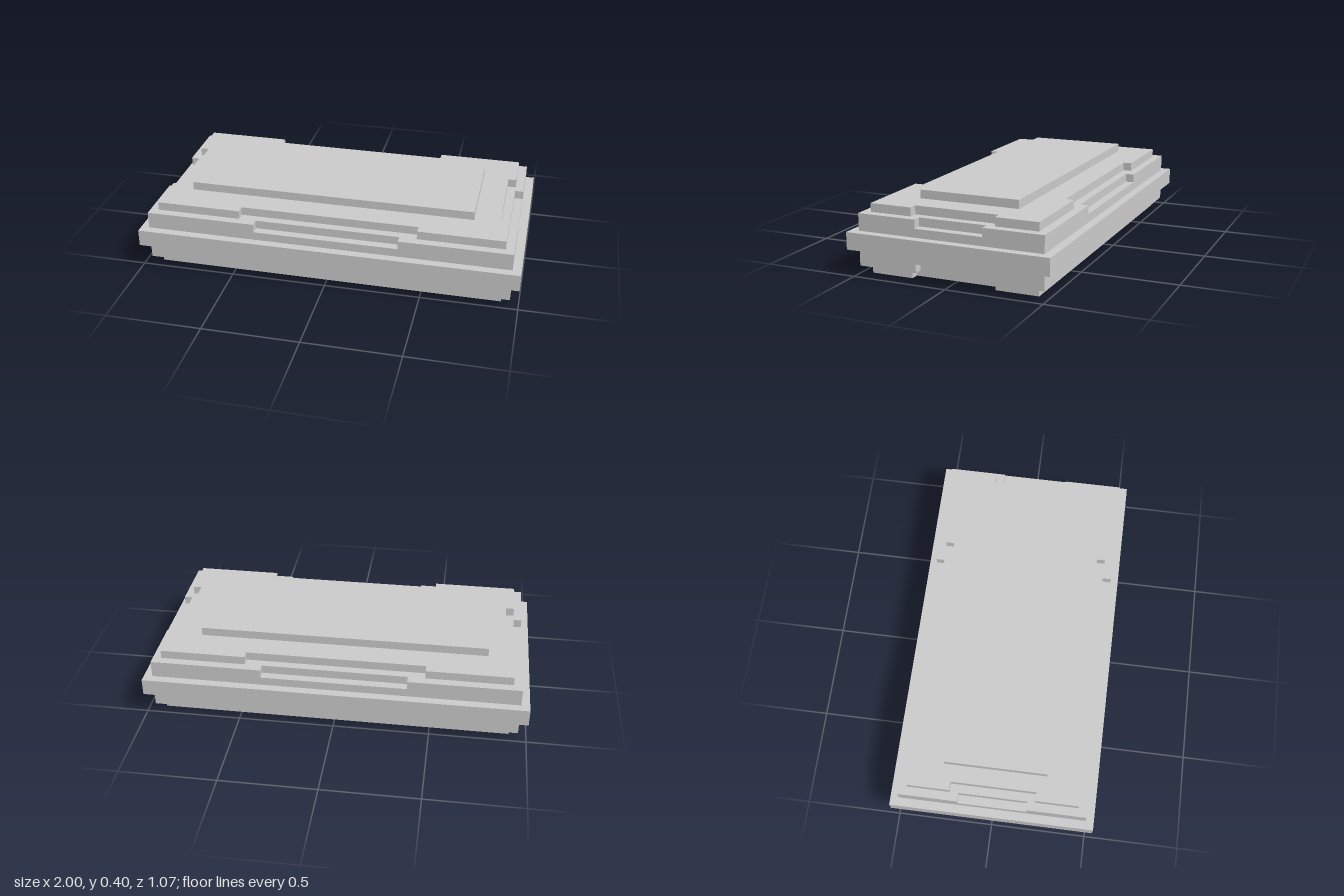
import * as THREE from 'three';

const material = new THREE.MeshStandardMaterial({ color: 0xcccccc, flatShading: true });
const U = 2 / 45; // step unit shared by all tiers and notches

// Rectangular outline with optional centred notches: endNotch (half width on the x ends),
// sideNotch (half width on the z sides); each is one unit deep.
function tierShape(hx, hz, endNotch, sideNotch) {
  const quarter = []; // from the +x end round to the +z side
  if (endNotch) quarter.push([hx - U, endNotch], [hx, endNotch]);
  quarter.push([hx, hz]);
  if (sideNotch) quarter.push([sideNotch, hz], [sideNotch, hz - U]);
  const back = [...quarter].reverse();
  const points = [
    ...quarter,
    ...back.map(([x, z]) => [-x, z]),
    ...quarter.map(([x, z]) => [-x, -z]),
    ...back.map(([x, z]) => [x, -z]),
  ];
  return new THREE.Shape(points.map(([x, z]) => new THREE.Vector2(x, z)));
}

export function createModel() {
  const group = new THREE.Group();

  // name, half length, half width, bottom, top (in units), end notch, side notch
  const tiers = [
    ['baseTier', 1 - 2 * U, 10 * U, 0, 1, 5 * U, 0],
    ['lowerTierNotched', 1 - U, 11 * U, 1, 2, 4 * U, 0],
    ['lowerTier', 1 - U, 11 * U, 2, 3, 0, 0],
    ['middleTier', 1, 12 * U, 3, 5, 0, 0],
    ['upperTier', 1 - U, 11 * U, 5, 6, 0, 0],
    ['upperTierNotched', 1 - U, 11 * U, 6, 7, 4 * U, 8.5 * U],
    ['deckTier', 1 - 2 * U, 10 * U, 7, 8, 5 * U, 10.5 * U],
  ];
  for (const [name, hx, hz, bottom, top, endNotch, sideNotch] of tiers) {
    const geometry = new THREE.ExtrudeGeometry(tierShape(hx, hz, endNotch, sideNotch), {
      depth: (top - bottom) * U,
      bevelEnabled: false,
    });
    geometry.rotateX(-Math.PI / 2);
    const tier = new THREE.Mesh(geometry, material);
    tier.name = name;
    tier.position.y = bottom * U;
    group.add(tier);
  }

  // Raised panel on the deck, set slightly toward -x
  const panel = new THREE.Mesh(new THREE.BoxGeometry(34 * U, U, 12 * U), material);
  panel.name = 'topPanel';
  panel.position.set(-0.5 * U, 8.5 * U, 0);
  group.add(panel);

  return group;
}
